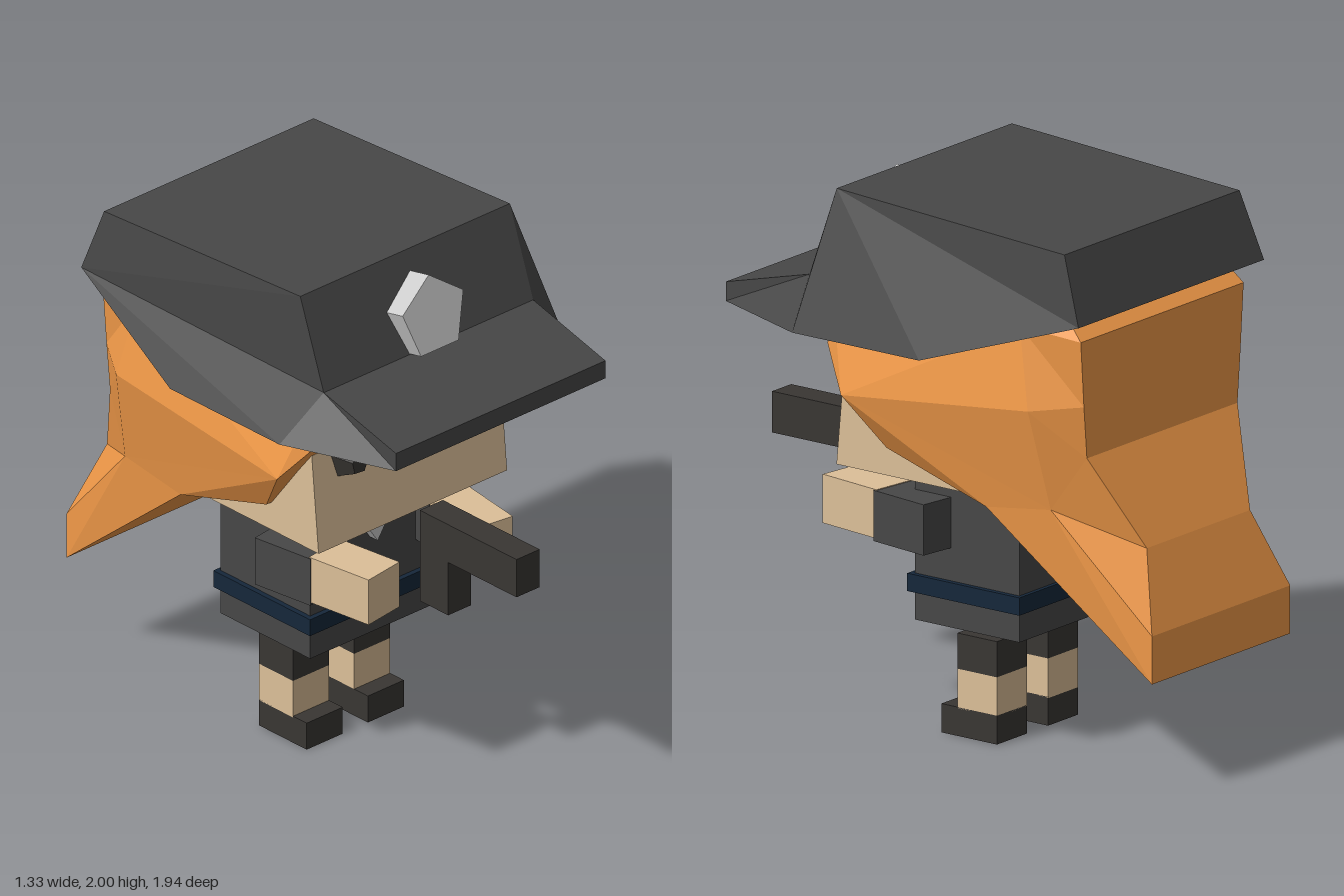
import * as THREE from 'three';

const mat = (color) => new THREE.MeshStandardMaterial({ color, flatShading: true });
const GREY = mat(0xcccccc), SKIN = mat(0xdcbf98), HAIR = mat(0xf39b49);
const CLOTH = mat(0x474747), DARK = mat(0x393633), NAVY = mat(0x15273a);

function add(parent, name, geometry, material) {
  const mesh = new THREE.Mesh(geometry, material);
  mesh.name = name;
  parent.add(mesh);
  return mesh;
}

// Box given by its lower and upper limits on each axis
function box(parent, name, material, [x0, x1], [y0, y1], [z0, z1]) {
  const g = new THREE.BoxGeometry(x1 - x0, y1 - y0, z1 - z0);
  g.translate((x0 + x1) / 2, (y0 + y1) / 2, (z0 + z1) / 2);
  return add(parent, name, g, material);
}

// Symmetric solid: points of the +x half, the outline joined across the middle,
// and the side faces (counter-clockwise seen from +x)
function mirrored(pts, outline, right, left = right) {
  const pos = [];
  const fan = (corners) => {
    for (let i = 1; i < corners.length - 1; i++) pos.push(...corners[0], ...corners[i], ...corners[i + 1]);
  };
  const R = (k) => pts[k];
  const L = (k) => [-pts[k][0], pts[k][1], pts[k][2]];
  outline.forEach((a, i) => {
    const b = outline[(i + 1) % outline.length];
    fan([R(b), R(a), L(a), L(b)]);
  });
  right.forEach((f) => fan(f.map(R)));
  left.forEach((f) => fan([f[0], ...f.slice(1).reverse()].map(L)));
  const g = new THREE.BufferGeometry();
  g.setAttribute('position', new THREE.Float32BufferAttribute(pos, 3));
  g.computeVertexNormals();
  return g;
}

function hairGeometry() {
  // f = front edge, m = middle of the side, b = back and tail
  const p = {
    f1: [0.475, 1.55, 0.37], f2: [0.475, 1.42, 0.4], f3: [0.555, 1.27, 0.28],
    f4: [0.475, 1.085, 0.14], f5: [0.475, 0.95, -0.3],
    m1: [0.515, 1.65, -0.48], m2: [0.555, 1.36, -0.545], m3: [0.475, 0.99, -0.585],
    b0: [0.45, 1.68, -0.65], b1: [0.465, 1.62, -0.71], bm: [0.447, 1.38, -0.71],
    b2: [0.43, 1.19, -0.71], b3: [0.295, 0.86, -0.87], b4: [0.395, 0.58, -0.97],
    b5: [0.395, 0.405, -0.97],
  };
  return mirrored(p,
    ['f1', 'f2', 'f3', 'f4', 'f5', 'b5', 'b4', 'b3', 'b2', 'bm', 'b1', 'b0', 'm1'],
    [['f3', 'm2', 'm1', 'f1', 'f2'], ['f3', 'f4', 'f5', 'm3', 'm2'],
      ['m1', 'm2', 'bm', 'b1', 'b0'], ['m2', 'm3', 'b2', 'bm'],
      ['m3', 'b3', 'b2'], ['m3', 'b4', 'b3'], ['m3', 'f5', 'b5', 'b4']]);
}

function capGeometry() {
  const p = {
    topFront: [0.5, 2, 0.34], topBack: [0.5, 1.94, -0.665], back: [0.53, 1.695, -0.75],
    rimBack: [0.665, 1.5, -0.15], rimFront: [0.665, 1.5, 0.41], brow: [0.5, 1.665, 0.46],
    peakTop: [0.5, 1.57, 0.83], peakLow: [0.5, 1.5, 0.83],
  };
  const peakSide = ['brow', 'peakTop', 'peakLow', 'rimFront'];
  return mirrored(p,
    ['topFront', 'brow', 'peakTop', 'peakLow', 'rimFront', 'rimBack', 'back', 'topBack'],
    [['topFront', 'brow', 'rimFront', 'rimBack', 'back', 'topBack'], peakSide],
    [['back', 'topBack', 'topFront', 'brow', 'rimFront', 'rimBack'], peakSide]);
}

export function createModel() {
  const model = new THREE.Group();
  model.name = 'officerFigure';

  // Body
  box(model, 'torso', CLOTH, [-0.285, 0.285], [0.41, 0.975], [-0.3, 0.16]);
  box(model, 'belt', NAVY, [-0.305, 0.305], [0.515, 0.58], [-0.315, 0.18]);
  const tie = new THREE.Shape([[-0.115, 0.96], [0, 0.79], [0.115, 0.96]].map(([x, y]) => new THREE.Vector2(x, y)));
  add(model, 'collar', new THREE.ExtrudeGeometry(tie, { depth: 0.06, bevelEnabled: false }), GREY).position.z = 0.14;

  // Head with a slightly sloping face
  const head = { low: [0.45, 0.975, 0.38], high: [0.45, 1.35, 0.345], backHigh: [0.45, 1.35, -0.22], backLow: [0.45, 0.975, -0.22] };
  const loop = ['high', 'low', 'backLow', 'backHigh'];
  add(model, 'head', mirrored(head, loop, [loop]), SKIN);
  add(model, 'hair', hairGeometry(), HAIR);
  add(model, 'cap', capGeometry(), CLOTH);

  // Five-sided cap badge, leaning back with the cap front
  const badgeGeo = new THREE.CylinderGeometry(0.152, 0.152, 0.1, 5);
  badgeGeo.rotateY(Math.PI).rotateX(Math.PI / 2);
  const badge = add(model, 'capBadge', badgeGeo, GREY);
  badge.position.set(0, 1.79, 0.444);
  badge.rotation.x = -0.21;

  for (const s of [1, -1]) {
    const side = s > 0 ? 'left' : 'right';
    const span = (a, b) => (s > 0 ? [a, b] : [-b, -a]);

    // Eye: blunt five-sided stud
    const eyeGeo = new THREE.CylinderGeometry(0.04, 0.082, 0.08, 5);
    eyeGeo.rotateY(Math.PI).rotateX(Math.PI / 2);
    const eye = add(model, side + 'Eye', eyeGeo, DARK);
    eye.position.set(s * 0.288, 1.288, 0.38);
    eye.rotation.z = s * 0.08;

    // Arm, turned inward towards the pistol
    const arm = new THREE.Group();
    arm.name = side + 'Arm';
    arm.position.set(s * 0.295, 0, 0.255);
    arm.rotation.y = -s * 0.14;
    box(arm, side + 'Sleeve', CLOTH, [-0.09, 0.09], [0.7, 0.885], [-0.25, 0]);
    box(arm, side + 'Forearm', SKIN, [-0.086, 0.086], [0.71, 0.888], [-0.01, 0.258]);
    model.add(arm);

    // Leg
    box(model, side + 'ShortLeg', DARK, span(0.06, 0.232), [0.245, 0.375], [-0.16, 0.015]);
    box(model, side + 'Shin', SKIN, span(0.06, 0.232), [0.1, 0.245], [-0.16, 0.015]);
    box(model, side + 'Shoe', DARK, span(0.06, 0.232), [0, 0.105], [-0.16, 0.085]);
  }

  // Pistol
  box(model, 'pistolBarrel', DARK, [-0.055, 0.055], [0.89, 1.04], [0.475, 0.97]);
  box(model, 'pistolGrip', DARK, [-0.055, 0.055], [0.68, 0.89], [0.475, 0.62]);
  return model;
}
